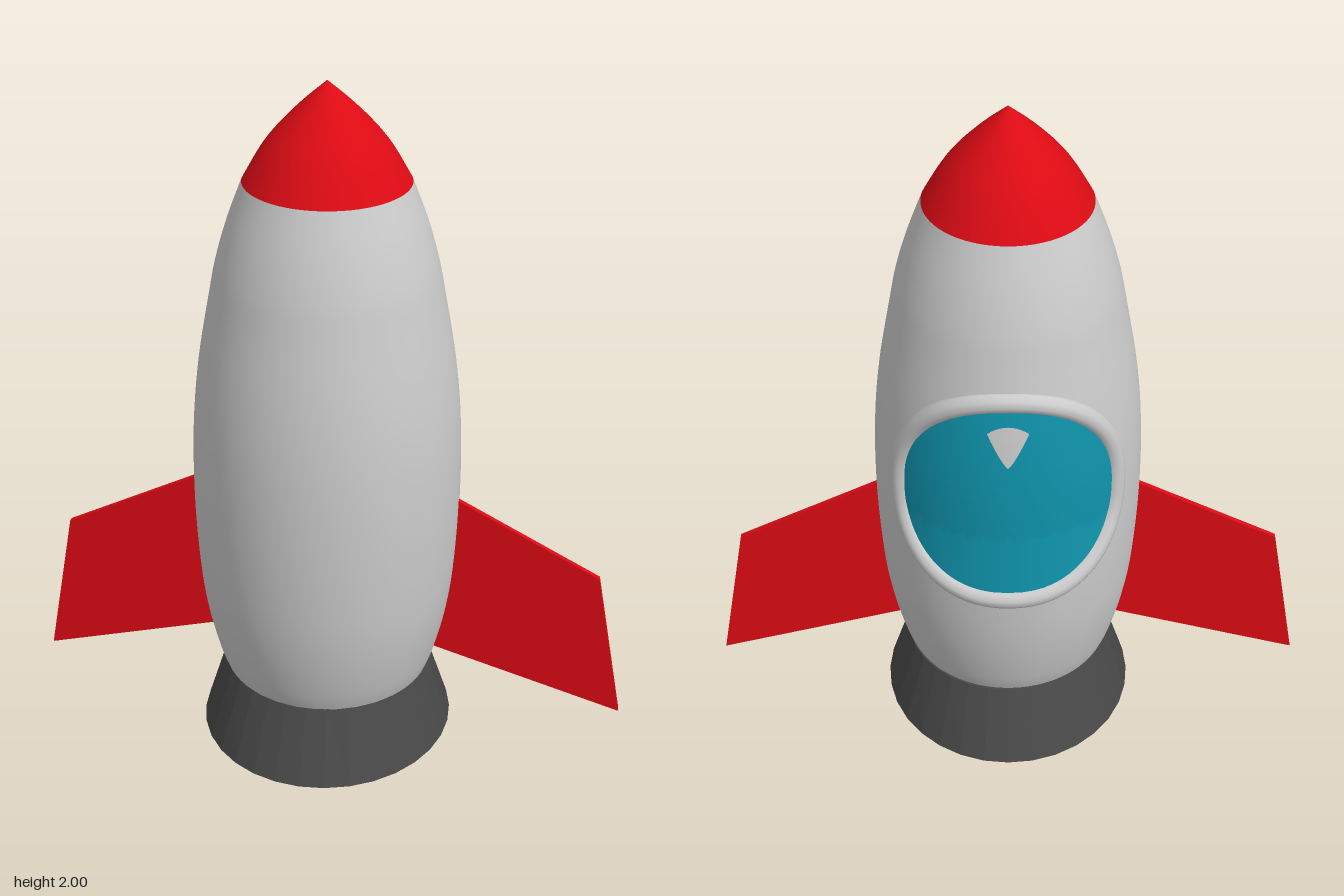
import * as THREE from 'three';
import { ParametricGeometry } from 'three/addons/geometries/ParametricGeometry.js';

const AXIS_Z = 0.008; // the hull sits a touch forward of centre
const V2 = ([x, y]) => new THREE.Vector2(x, y);

const hullCurve = new THREE.SplineCurve([
  [0.3, 0.2], [0.325, 0.27], [0.355, 0.4], [0.374, 0.55], [0.384, 0.77], [0.38, 1.0],
  [0.36, 1.2], [0.325, 1.4], [0.305, 1.5], [0.273, 1.61], [0.23, 1.725]].map(V2));
const hullPoints = hullCurve.getPoints(50);

const noseCurve = new THREE.SplineCurve([
  [0.231, 1.722], [0.187, 1.8], [0.152, 1.85], [0.106, 1.902], [0.055, 1.952], [0, 2]].map(V2));

function hullRadius(y) {
  const i = Math.max(1, hullPoints.findIndex(p => p.y >= y));
  const a = hullPoints[i - 1], b = hullPoints[i];
  return THREE.MathUtils.mapLinear(y, a.y, b.y, a.x, b.x);
}

// Straight-sided window surface, wider at the bottom, never below the hull
function windowPoint(x, y, lift, target) {
  const line = THREE.MathUtils.mapLinear(y, 0.66, 1.29, 0.413, 0.343);
  const r = Math.max(line, hullRadius(y) + 0.005) + lift;
  return target.set(x, y, AXIS_Z - Math.sqrt(r * r - x * x));
}

// Rounded window outline, fuller at the bottom; s scales it about its centre
function outline(t, s) {
  const c = Math.cos(t), n = Math.sin(t);
  const e = n < 0 ? 2 / 2.5 : 2 / 2.15;
  return [
    s * 0.295 * Math.sign(c) * Math.abs(c) ** e,
    0.97 + s * (n < 0 ? 0.3 : 0.34) * Math.sign(n) * Math.abs(n) ** e,
  ];
}

export function createModel() {
  const group = new THREE.Group();
  const mat = (color, opts = {}) => new THREE.MeshStandardMaterial({ color, ...opts });
  const grey = mat(0xcccccc);
  const red = mat(0xdd0b14);
  const add = (name, geometry, material) => {
    const mesh = new THREE.Mesh(geometry, material);
    mesh.name = name;
    group.add(mesh);
    return mesh;
  };

  // Hull and nose cone
  add('hull', new THREE.LatheGeometry(hullPoints, 64), grey).position.z = AXIS_Z;
  add('noseCone', new THREE.LatheGeometry(noseCurve.getPoints(24), 64), red).position.z = AXIS_Z;

  // Flared nozzle with a recessed underside, slightly oval at the foot
  const nozzle = new THREE.LatheGeometry([
    [0, 0.05], [0.295, 0.05], [0.3, 0], [0.39, 0], [0.308, 0.212], [0, 0.212]].map(V2), 32);
  const p = nozzle.attributes.position;
  for (let i = 0; i < p.count; i++) {
    const k = 0.04 * (1 - p.getY(i) / 0.212);
    p.setX(i, p.getX(i) * (1 - k));
    p.setZ(i, p.getZ(i) * (1 + k));
  }
  add('nozzle', nozzle, mat(0x484848, { flatShading: true })).position.z = 0.004;

  // Thin swept fins, one on each side
  for (const side of [1, -1]) {
    const shape = new THREE.Shape(
      [[0.3, 0.272], [0.885, 0.11], [0.8, 0.563], [0.38, 0.775], [0.3, 0.775]]
        .map(([x, y]) => V2([x * side, y])));
    const fin = new THREE.ExtrudeGeometry(shape, { depth: 0.016, bevelEnabled: false });
    fin.translate(0, 0, -0.015);
    add(side > 0 ? 'leftFin' : 'rightFin', fin, red);
  }

  // Window glass wrapped round the back of the hull
  const glass = new ParametricGeometry((u, v, target) => {
    const [x, y] = outline(v * Math.PI * 2, u);
    windowPoint(x, y, 0, target);
  }, 16, 64);
  add('windowGlass', glass, mat(0x0f93ab, { side: THREE.DoubleSide }));

  // Rim following the window outline
  const rimPoints = [];
  for (let i = 0; i < 40; i++) {
    const [x, y] = outline((i / 40) * Math.PI * 2, 1);
    rimPoints.push(windowPoint(x, y, -0.012, new THREE.Vector3()));
  }
  const rimCurve = new THREE.CatmullRomCurve3(rimPoints, true);
  add('windowRim', new THREE.TubeGeometry(rimCurve, 96, 0.03, 10, true), grey);

  // Small shield-shaped glint near the top of the glass
  const glint = new ParametricGeometry((u, v, target) => {
    const w = u * 2 - 1;
    const top = 1.225 + 0.022 * (1 - w * w);
    windowPoint(w * 0.056 * v ** 0.8, THREE.MathUtils.lerp(1.12, top, v), 0.005, target);
  }, 10, 10);
  add('windowGlint', glint, mat(0xcccccc, { side: THREE.DoubleSide }));

  return group;
}
